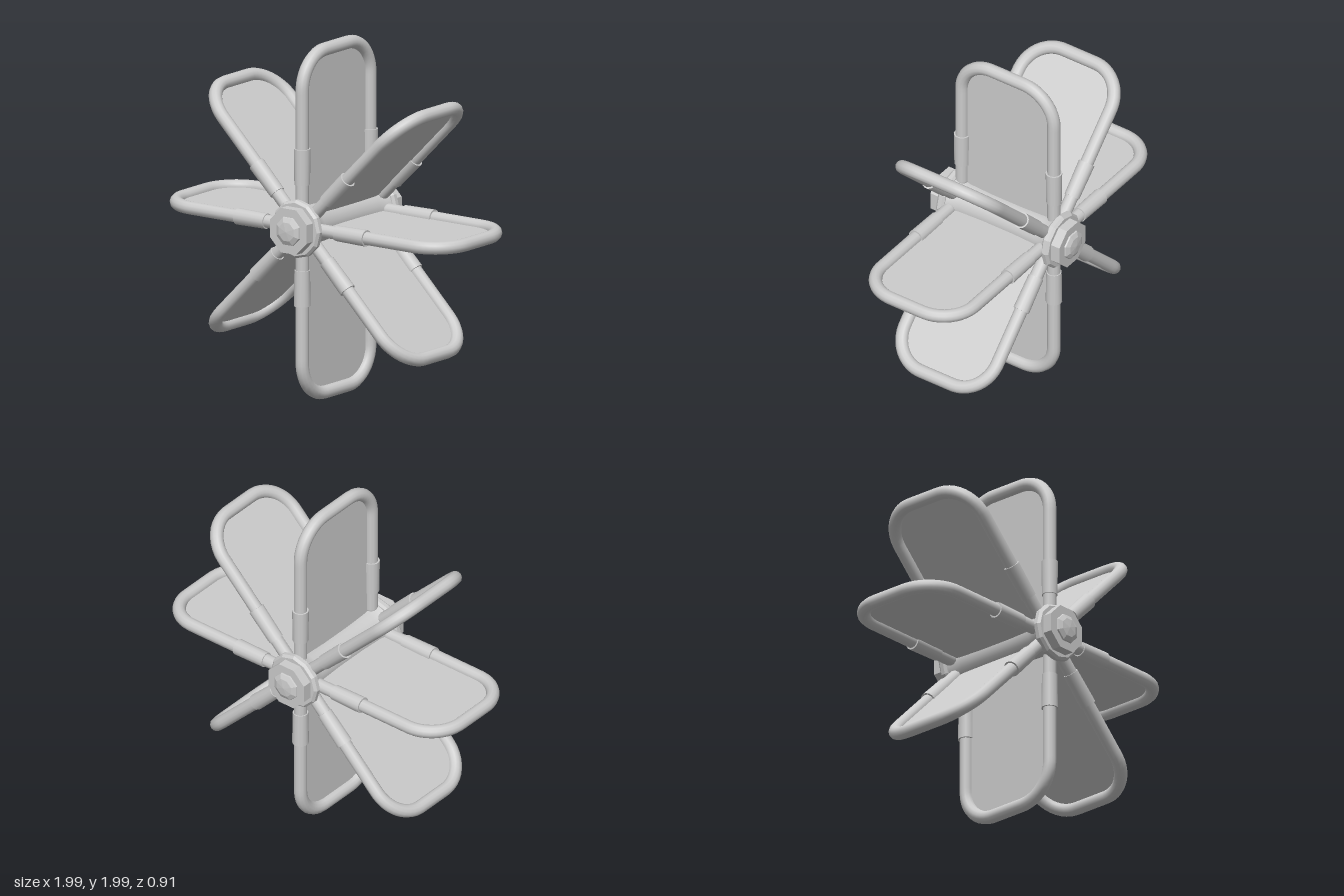
import * as THREE from 'three';

const TUBE = 0.037, HALF = 0.306, TIP = 0.96, CORNER = 0.2, ROOT = 0.13;
const grey = new THREE.MeshStandardMaterial({ color: 0xcccccc });
const faceted = new THREE.MeshStandardMaterial({ color: 0xcccccc, flatShading: true });
const sheet = new THREE.MeshStandardMaterial({ color: 0xcccccc, side: THREE.DoubleSide });

function add(parent, name, geometry, material = grey) {
  const mesh = new THREE.Mesh(geometry, material);
  mesh.name = name;
  parent.add(mesh);
  return mesh;
}

// Bent frame: two straight legs joined by rounded outer corners
function framePath() {
  const p = (z, y) => new THREE.Vector3(0, y, z);
  const k = CORNER * 0.45;
  const path = new THREE.CurvePath();
  path.add(new THREE.LineCurve3(p(HALF, ROOT), p(HALF, TIP - CORNER)));
  path.add(new THREE.CubicBezierCurve3(p(HALF, TIP - CORNER), p(HALF, TIP - k), p(HALF - k, TIP), p(HALF - CORNER, TIP)));
  path.add(new THREE.LineCurve3(p(HALF - CORNER, TIP), p(CORNER - HALF, TIP)));
  path.add(new THREE.CubicBezierCurve3(p(CORNER - HALF, TIP), p(k - HALF, TIP), p(-HALF, TIP - k), p(-HALF, TIP - CORNER)));
  path.add(new THREE.LineCurve3(p(-HALF, TIP - CORNER), p(-HALF, ROOT)));
  return path;
}

// Thin panel filling the frame
function panelGeometry() {
  const k = CORNER * 0.45;
  const s = new THREE.Shape();
  s.moveTo(-HALF, 0.1);
  s.lineTo(HALF, 0.1);
  s.lineTo(HALF, TIP - CORNER);
  s.bezierCurveTo(HALF, TIP - k, HALF - k, TIP, HALF - CORNER, TIP);
  s.lineTo(CORNER - HALF, TIP);
  s.bezierCurveTo(k - HALF, TIP, -HALF, TIP - k, -HALF, TIP - CORNER);
  s.closePath();
  return new THREE.ShapeGeometry(s, 8).rotateY(Math.PI / 2);
}

function lathe(points, sides) {
  const profile = points.map(([r, z]) => new THREE.Vector2(r, z));
  return new THREE.LatheGeometry(profile, sides).rotateX(Math.PI / 2);
}

export function createModel() {
  const model = new THREE.Group();
  model.name = 'paddleWheel';
  const wheel = new THREE.Group();
  wheel.name = 'wheel';
  wheel.position.y = 1;
  model.add(wheel);

  // Hub barrel, flaring towards the flanges
  add(wheel, 'hubBarrel', lathe([
    [0.145, -0.335], [0.13, -0.3], [0.115, -0.25], [0.108, -0.1],
    [0.108, 0.1], [0.115, 0.25], [0.13, 0.3], [0.145, 0.335],
  ], 24));

  // Flange, nut and domed cap at each end
  for (const side of [1, -1]) {
    const end = new THREE.Group();
    end.name = side > 0 ? 'frontHubEnd' : 'backHubEnd';
    if (side < 0) end.rotation.y = Math.PI;
    wheel.add(end);
    add(end, 'flange', lathe([[0, 0.325], [0.15, 0.325], [0.163, 0.337], [0.163, 0.36], [0.15, 0.374], [0, 0.374]], 12), faceted);
    add(end, 'nut', lathe([[0.135, 0.365], [0.135, 0.43], [0, 0.43]], 8).rotateZ(Math.PI / 8), faceted);
    add(end, 'cap', lathe([[0.086, 0.425], [0.082, 0.438], [0.055, 0.451], [0, 0.457]], 8).rotateZ(Math.PI / 8), faceted);
  }

  // Eight paddles around the hub
  const frame = new THREE.TubeGeometry(framePath(), 72, TUBE, 12);
  const panel = panelGeometry();
  const tip = new THREE.SphereGeometry(TUBE, 12, 8);
  const sleeve = new THREE.CylinderGeometry(0.046, 0.043, 0.2, 14);
  for (let i = 0; i < 8; i++) {
    const paddle = new THREE.Group();
    paddle.name = `paddle${i + 1}`;
    paddle.rotation.z = i * Math.PI / 4;
    wheel.add(paddle);
    add(paddle, 'frame', frame);
    add(paddle, 'panel', panel, sheet);
    for (const side of [1, -1]) {
      add(paddle, 'legEnd', tip).position.set(0, ROOT, side * HALF);
      add(paddle, 'sleeve', sleeve).position.set(0, 0.34, side * HALF);
    }
  }
  return model;
}
